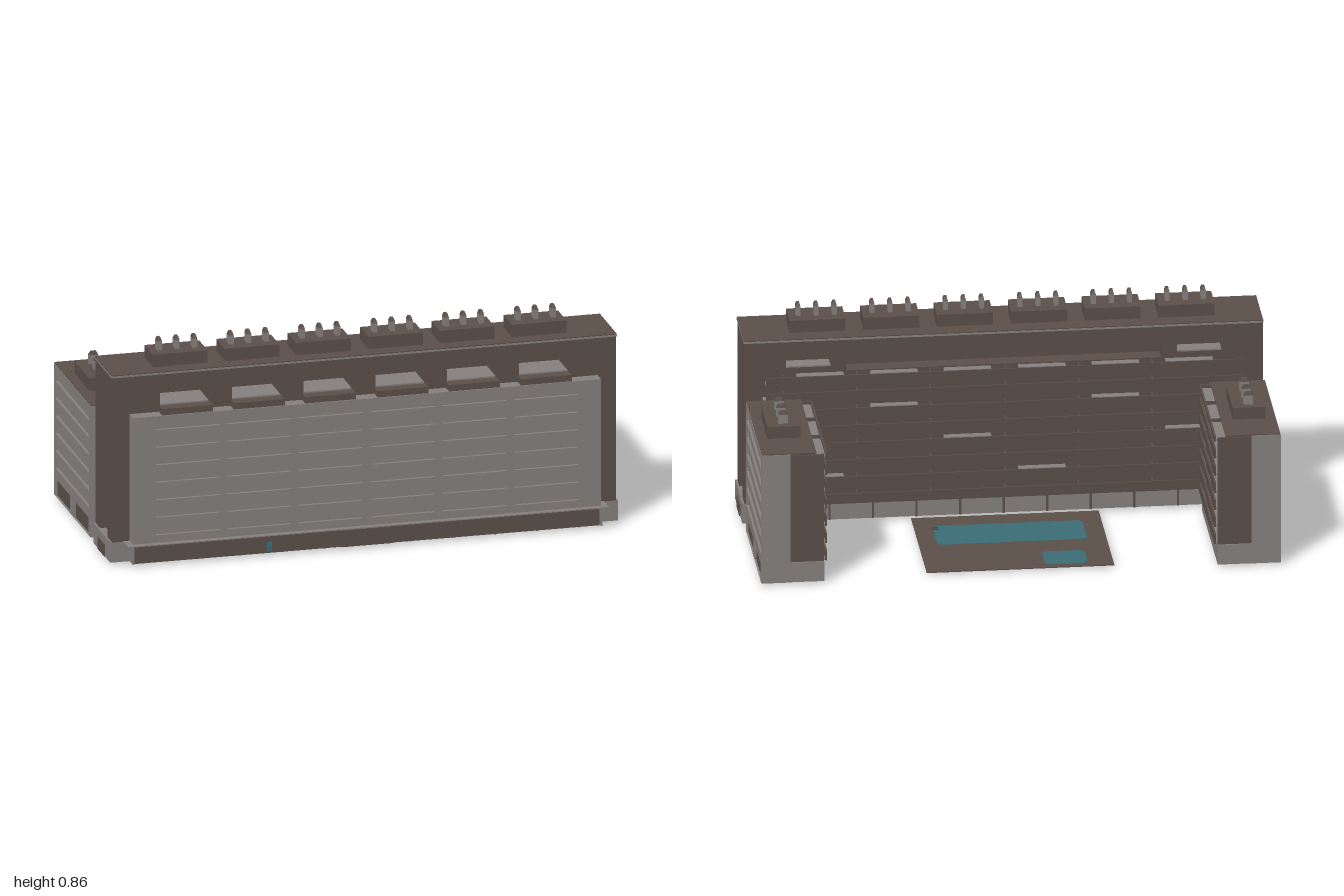
import * as THREE from 'three';

const mat = (name, color) => {
  const m = new THREE.MeshStandardMaterial({ color, side: THREE.DoubleSide });
  m.name = name;
  return m;
};

export function createModel() {
  const concrete = mat('grey concrete', 0x85807d);
  const brown = mat('dark brown cladding', 0x5b4f49);
  const water = mat('teal water', 0x3c6d75);
  const model = new THREE.Group();
  model.name = 'hotelComplex';

  // Box given by its limits on each axis
  const box = (parent, name, m, x0, x1, y0, y1, z0, z1) => {
    const mesh = new THREE.Mesh(new THREE.BoxGeometry(x1 - x0, y1 - y0, z1 - z0), m);
    mesh.position.set((x0 + x1) / 2, (y0 + y1) / 2, (z0 + z1) / 2);
    mesh.name = name;
    parent.add(mesh);
  };
  const rect = (S, x0, x1, y0, y1) => {
    const s = new S();
    s.moveTo(x0, y0);
    s.lineTo(x1, y0);
    s.lineTo(x1, y1);
    s.lineTo(x0, y1);
    s.closePath();
    return s;
  };
  // Flat wall in the xy plane with openings
  const wall = (name, m, outline, openings, depth) => {
    const s = rect(THREE.Shape, ...outline);
    openings.forEach(o => s.holes.push(rect(THREE.Path, ...o)));
    const mesh = new THREE.Mesh(new THREE.ExtrudeGeometry(s, { depth, bevelEnabled: false }), m);
    mesh.name = name;
    return mesh;
  };
  const group = (name) => {
    const g = new THREE.Group();
    g.name = name;
    model.add(g);
    return g;
  };
  const bays = [-0.705, -0.424, -0.144, 0.14, 0.42, 0.702];

  // Tapered vent cap with a rectangular foot
  const capGeometry = new THREE.CylinderGeometry(0.4, Math.SQRT1_2, 0.014, 4).toNonIndexed();
  capGeometry.rotateY(Math.PI / 4);
  capGeometry.scale(0.018, 1, 0.036);
  capGeometry.computeVertexNormals();

  // Rooftop plant room with three vents along its length (local x)
  const plantRoom = (name, x, y, z) => {
    const g = group(name);
    box(g, 'plantRoom', brown, -0.107, 0.107, 0, 0.05, -0.0625, 0.0625);
    for (const vx of [-0.069, 0, 0.069]) {
      box(g, 'vent', concrete, vx - 0.009, vx + 0.009, 0.05, 0.086, -0.018, 0.018);
      const cap = new THREE.Mesh(capGeometry, brown);
      cap.name = 'ventCap';
      cap.position.set(vx, 0.093, 0);
      g.add(cap);
    }
    g.position.set(x, y, z);
    return g;
  };

  // Main tower: core, recessed top floor and roof
  const tower = group('tower');
  box(tower, 'towerCore', brown, -0.965, 0.965, 0.09, 0.62, 0.14, 0.39);
  box(tower, 'topFloorCore', brown, -0.965, 0.965, 0.62, 0.745, 0.2, 0.26);
  const frontOpenings = bays.map(b => [b - 0.095, b + 0.095, 0.621, 0.73]);
  const rearOpenings = [[-0.83, -0.66, 0.64, 0.7], [-0.6, 0.6, 0.621, 0.67], [0.66, 0.83, 0.64, 0.7]];
  for (const [z, d, openings] of [[0.26, 0.13, frontOpenings], [0.14, 0.06, rearOpenings]]) {
    const w = wall('topFloorWall', brown, [-0.965, 0.965, 0.62, 0.745], openings, d);
    w.position.z = z;
    tower.add(w);
    for (const [x0, x1, y0] of openings) {
      if (x1 - x0 < 1) box(tower, 'terraceFloor', concrete, x0, x1, y0, y0 + 0.006, z + 0.001, z + d - 0.001);
    }
  }
  for (const s of [-1, 1]) {
    for (const [z0, z1] of [[0.14, 0.21], [0.32, 0.39]]) {
      box(tower, 'endPilaster', brown, s * 0.975 - 0.013, s * 0.975 + 0.013, 0.09, 0.745, z0, z1);
    }
  }
  box(tower, 'roofEdge', concrete, -0.991, 0.991, 0.745, 0.752, 0.139, 0.391);
  box(tower, 'roof', brown, -0.99, 0.99, 0.75, 0.756, 0.141, 0.389);
  for (const b of bays) plantRoom('towerPlantRoom', b, 0.755, 0.268);

  // Front facade with recessed panels
  const facade = group('frontFacade');
  const panels = [];
  for (const b of bays) {
    for (let r = 0; r < 7; r++) panels.push([b - 0.125, b + 0.125, 0.122 + r * 0.07, 0.158 + r * 0.07]);
  }
  const grid = wall('facadeGrid', concrete, [-0.92, 0.915, 0.09, 0.597], panels, 0.012);
  grid.position.z = 0.43;
  facade.add(grid);
  box(facade, 'facadeBack', concrete, -0.92, 0.915, 0.09, 0.597, 0.385, 0.43);
  for (const b of bays) box(facade, 'terraceParapet', brown, b - 0.1, b + 0.1, 0.595, 0.622, 0.39, 0.437);
  box(facade, 'canopy', concrete, -0.945, 0.94, 0.088, 0.092, 0.39, 0.465);

  // Ground floor, open underneath
  const base = group('groundFloor');
  box(base, 'frontBase', brown, -0.915, 0.91, 0.012, 0.088, 0.425, 0.435);
  box(base, 'rearBase', concrete, -0.92, 0.915, 0.012, 0.088, 0.14, 0.148);
  box(base, 'baseCeiling', concrete, -0.92, 0.915, 0.084, 0.088, 0.148, 0.425);
  for (let i = 0; i < 11; i++) {
    const x = -0.83 + i * 0.166;
    box(base, 'rearRib', brown, x - 0.004, x + 0.004, 0.012, 0.09, 0.136, 0.14);
    box(base, 'ceilingBeam', concrete, x - 0.006, x + 0.006, 0.074, 0.084, 0.148, 0.425);
    box(base, 'frontRib', brown, x - 0.003, x + 0.003, 0.012, 0.088, 0.435, 0.439);
  }
  box(base, 'entranceDoors', brown, -0.1, 0.1, 0.012, 0.078, 0.435, 0.441);
  box(base, 'entrancePane', water, -0.395, -0.375, 0.02, 0.055, 0.435, 0.44);
  for (const s of [-1, 1]) {
    box(base, 'endBlock', concrete, s * 0.956 - 0.04, s * 0.956 + 0.04, 0.01, 0.09, 0.14, 0.39);
    box(base, 'frontBaseEnd', concrete, s * 0.9175 - 0.0025, s * 0.9175 + 0.0025, 0.01, 0.09, 0.39, 0.441);
    for (const z of [0.238, 0.292]) {
      box(base, 'sideDoor', brown, s * 0.997 - 0.003, s * 0.997 + 0.003, 0.011, 0.058, z - 0.023, z + 0.023);
    }
  }

  // Rear balconies of the tower
  const rear = group('rearBalconies');
  const half = 0.91;
  for (let r = 0; r < 8; r++) {
    const y = 0.09 + r * 0.07;
    const top = y + (r < 7 ? 0.04 : 0.035);
    box(rear, 'balconyFloor', concrete, -half, half, y, y + 0.008, 0.107, 0.14);
    box(rear, 'balconyParapet', brown, -half, half, y, top, 0.102, 0.107);
    bays.forEach((b, i) => {
      box(rear, 'balconyDivider', brown, b + 0.138, b + 0.144, y, top, 0.107, 0.14);
      if (r === 7 || (r % 2 && (i + r) % 3 === 0)) {
        box(rear, 'balconyDeck', concrete, b - 0.09, b + 0.09, y + 0.008, top + 0.001, 0.108, 0.14);
      }
    });
  }

  // Side wings
  for (const s of [-1, 1]) {
    const wing = group(s > 0 ? 'leftWing' : 'rightWing');
    const wb = (name, m, x0, x1, ...yz) => box(wing, name, m, s > 0 ? x0 : -x1, s > 0 ? x1 : -x0, ...yz);
    wb('wingBody', brown, 0.785, 0.96, 0.09, 0.533, -0.455, 0.07);
    wb('wingGroundFloor', concrete, 0.75, 0.975, 0.01, 0.09, -0.465, 0.075);
    for (const [z0, z1] of [[-0.467, -0.455], [0.065, 0.077]]) {
      wb('wingEndWall', concrete, 0.88, 0.978, 0.01, 0.533, z0, z1);
    }
    wb('wingEndScreen', brown, 0.75, 0.88, 0.09, 0.525, -0.46, -0.45);
    wb('wingRoof', brown, 0.78, 0.988, 0.531, 0.537, -0.465, 0.075);
    wb('connector', concrete, 0.78, 0.92, 0.09, 0.525, 0.07, 0.14);

    // Outer wall with long recessed panels and two dark garage openings
    const rows = [];
    for (let r = 0; r < 6; r++) rows.push([-0.445, 0.053, 0.121 + r * 0.0695, 0.156 + r * 0.0695]);
    const garages = [[-0.435, -0.225, 0.012, 0.08], [-0.165, 0.046, 0.012, 0.08]];
    const outer = wall('wingOuterWall', concrete, [-0.467, 0.077, 0.01, 0.533], [...rows, ...garages], 0.012);
    outer.rotation.y = -Math.PI / 2;
    outer.position.x = s > 0 ? 0.99 : -0.978;
    wing.add(outer);
    wb('wingOuterBacking', concrete, 0.96, 0.979, 0.09, 0.533, -0.46, 0.07);
    for (const [z0, z1] of garages) {
      wb('garageDoor', brown, 0.975, 0.983, 0.012, 0.08, z0, z1);
      wb('garageUnderside', brown, 0.79, 0.97, 0.009, 0.011, z0, z1);
    }

    // Inner balconies
    for (let r = 0; r < 7; r++) {
      const y = 0.09 + r * 0.07;
      const top = Math.min(y + 0.04, 0.531);
      wb('wingBalconyFloor', concrete, 0.745, 0.785, y, y + 0.008, -0.45, 0.07);
      wb('wingBalconyParapet', brown, 0.738, 0.745, y, top, -0.455, 0.07);
      for (const z of [-0.28, -0.105, 0.064]) {
        wb('wingBalconyDivider', brown, 0.745, 0.785, y, top, z, z + 0.006);
      }
    }
    plantRoom('wingPlantRoom', s * 0.887, 0.535, -0.203).rotation.y = Math.PI / 2;
  }

  // Terrace with two pools
  const terrace = group('poolTerrace');
  box(terrace, 'paving', brown, -0.36, 0.355, 0.008, 0.012, -0.425, 0.12);
  const pool = (name, x0, x1, z0, z1) => {
    const c = 0.015;
    const s = new THREE.Shape([
      [x0 + c, z0], [x1 - c, z0], [x1, z0 + c], [x1, z1 - c],
      [x1 - c, z1], [x0 + c, z1], [x0, z1 - c], [x0, z0 + c],
    ].map(p => new THREE.Vector2(...p)));
    const mesh = new THREE.Mesh(new THREE.ExtrudeGeometry(s, { depth: 0.007, bevelEnabled: false }), water);
    mesh.rotation.x = Math.PI / 2;
    mesh.position.y = 0.0135;
    mesh.name = name;
    terrace.add(mesh);
  };
  pool('largePool', -0.287, 0.285, -0.16, 0.028);
  pool('smallPool', -0.262, -0.1, -0.4, -0.27);
  for (const z of [-0.008, 0.008]) box(terrace, 'poolLadder', brown, 0.265, 0.29, 0, 0.018, z - 0.002, z + 0.002);

  return model;
}
